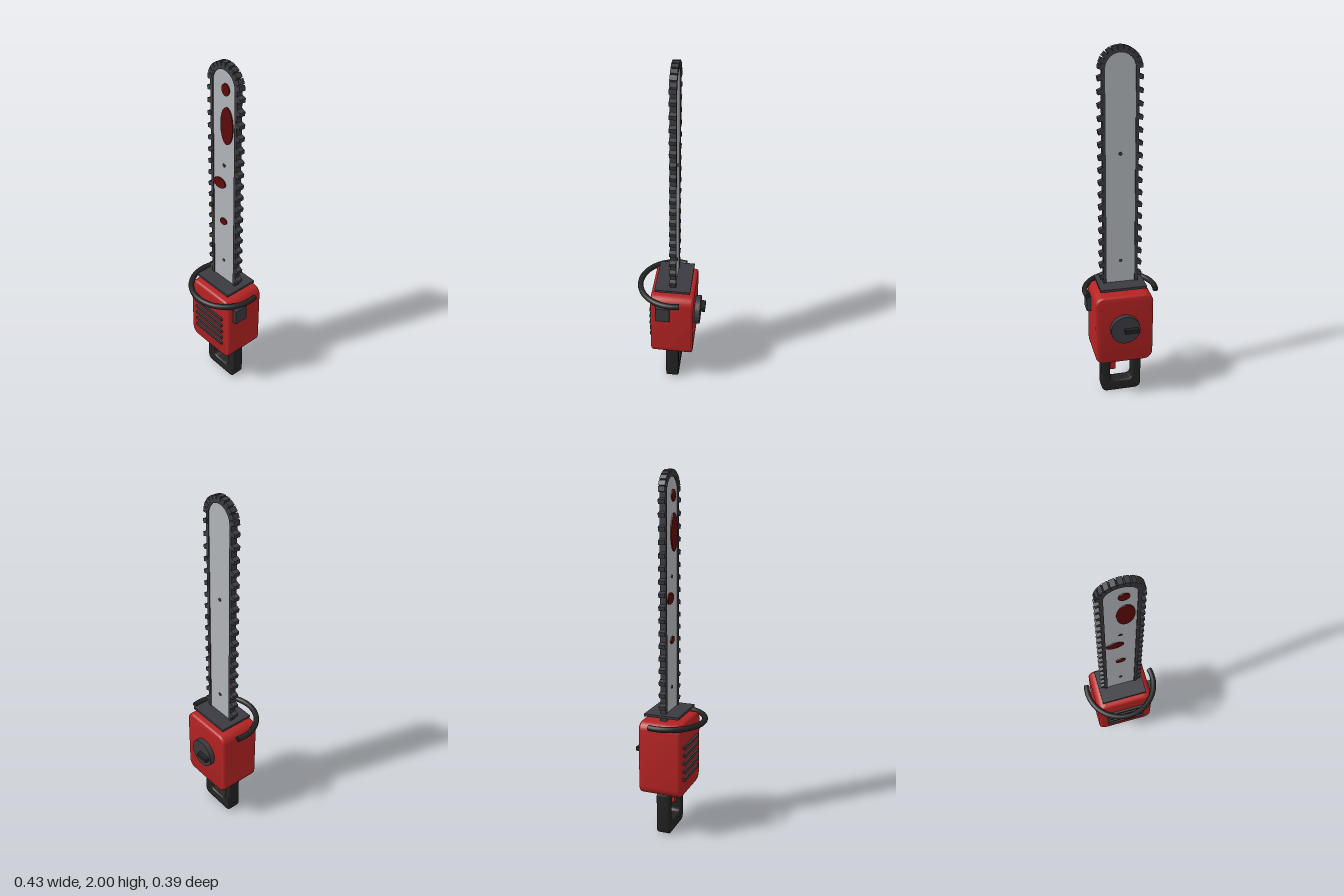
import * as THREE from 'three';
import { toCreasedNormals } from 'three/addons/utils/BufferGeometryUtils.js';

const mat = (name, color) => {
  const m = new THREE.MeshStandardMaterial({ color });
  m.name = name;
  return m;
};

// Rounded rectangle, as a shape or a hole
function roundRect(path, x0, y0, x1, y1, r) {
  path.moveTo(x0 + r, y0);
  path.lineTo(x1 - r, y0);
  path.absarc(x1 - r, y0 + r, r, -Math.PI / 2, 0);
  path.lineTo(x1, y1 - r);
  path.absarc(x1 - r, y1 - r, r, 0, Math.PI / 2);
  path.lineTo(x0 + r, y1);
  path.absarc(x0 + r, y1 - r, r, Math.PI / 2, Math.PI);
  path.lineTo(x0, y0 + r);
  path.absarc(x0 + r, y0 + r, r, Math.PI, Math.PI * 1.5);
  return path;
}

// Extrusion from z0 to z1 with the bevel kept inside that depth
function extrude(shape, z0, z1, bevel = 0) {
  const g = new THREE.ExtrudeGeometry(shape, {
    depth: z1 - z0 - 2 * bevel, curveSegments: 12,
    bevelEnabled: bevel > 0, bevelThickness: bevel, bevelSize: bevel,
    bevelOffset: -bevel, bevelSegments: 4,
  });
  g.translate(0, 0, z0 + bevel);
  return toCreasedNormals(g, 0.6);
}

export function createModel() {
  const root = new THREE.Group();
  root.name = 'chainsaw';
  const red = mat('red housing', 0xb22222);
  const black = mat('black rubber', 0x222222);
  const grey = mat('dark grey', 0x3a3a40);
  const silver = mat('bar steel', 0xb0b4b8);
  const stain = mat('dark red stain', 0x5c0a0a);

  const add = (name, geo, material, x = 0, y = 0, z = 0, parent = root) => {
    const m = new THREE.Mesh(geo, material);
    m.name = name;
    m.position.set(x, y, z);
    parent.add(m);
    return m;
  };
  const box = (w, h, d) => new THREE.BoxGeometry(w, h, d);

  // Engine housing
  add('housing', extrude(roundRect(new THREE.Shape(), -0.165, 0.25, 0.165, 0.67, 0.05), -0.142, 0.102, 0.015), red);
  for (const y of [0.352, 0.398, 0.444, 0.49, 0.536]) {
    add('vent', box(0.228, 0.016, 0.02), grey, 0, y, 0.104);
  }
  add('sideCap', box(0.035, 0.092, 0.08), grey, 0.172, 0.577, 0.029);

  // Pull starter on the back
  add('starterDisc', new THREE.CylinderGeometry(0.083, 0.083, 0.04, 32).rotateX(Math.PI / 2), grey, 0, 0.475, -0.152);
  add('starterGrip', box(0.077, 0.022, 0.03), black, -0.031, 0.475, -0.183);

  // Rear grip and trigger
  const grip = roundRect(new THREE.Shape(), -0.117, 0, 0.117, 0.26, 0.035);
  grip.holes.push(roundRect(new THREE.Path(), -0.065, 0.066, 0.065, 0.21, 0.025));
  add('rearGrip', extrude(grip, -0.056, 0.019, 0.008), black);
  add('trigger', box(0.03, 0.075, 0.03), red, 0.046, 0.172, -0.018);

  // Wrap-around front handle
  const over = 0.23;
  const hoop = new THREE.TorusGeometry(0.198, 0.016, 14, 48, Math.PI + 2 * over)
    .rotateZ(-over).rotateX(Math.PI / 2);
  add('frontHandle', hoop, black, 0, 0.658, -0.021);
  for (const s of [1, -1]) {
    const cap = add('handleEnd', new THREE.CircleGeometry(0.016, 14), black,
      s * 0.198 * Math.cos(over), 0.658, -0.021 - 0.198 * Math.sin(over));
    cap.rotation.y = Math.PI + s * over;
  }

  // Guard plate
  add('guardPlate', box(0.26, 0.014, 0.2), grey, 0, 0.704, -0.02);

  // Guide bar and chain share one centre plane
  const blade = new THREE.Group();
  blade.name = 'blade';
  blade.position.z = -0.02;
  root.add(blade);
  const cy = 1.885;
  const bottom = 0.62;
  const bar = new THREE.Shape();
  bar.moveTo(-0.085, bottom);
  bar.lineTo(0.085, bottom);
  bar.lineTo(0.085, cy);
  bar.absarc(0, cy, 0.085, 0, Math.PI);
  add('guideBar', extrude(bar, -0.012, 0.012), silver, 0, 0, 0, blade);

  const band = new THREE.Shape();
  band.moveTo(0.079, bottom);
  band.lineTo(0.096, bottom);
  band.lineTo(0.096, cy);
  band.absarc(0, cy, 0.096, 0, Math.PI);
  band.lineTo(-0.096, bottom);
  band.lineTo(-0.079, bottom);
  band.lineTo(-0.079, cy);
  band.absarc(0, cy, 0.079, Math.PI, 0, true);
  add('chainBand', extrude(band, -0.017, 0.017), grey, 0, 0, 0, blade);

  // Cutting teeth: swept down both sides, then fanned around the tip
  const tooth = new THREE.Shape();
  tooth.moveTo(-0.006, -0.012);
  tooth.lineTo(0.019, -0.018);
  tooth.lineTo(0.023, 0.004);
  tooth.lineTo(-0.006, 0.016);
  const toothGeo = extrude(tooth, -0.018, 0.018);
  for (let i = 0; i < 17; i++) {
    const y = 0.755 + i * 0.0682;
    add('toothLeft', toothGeo, grey, 0.096, y, 0, blade);
    add('toothRight', toothGeo, grey, -0.096, y, 0, blade).rotation.y = Math.PI;
  }
  const tipTooth = box(0.026, 0.026, 0.036);
  const count = 11;
  for (let i = 0; i < count; i++) {
    const a = Math.PI * (i + 0.5) / count;
    add('tipTooth', tipTooth, grey, 0.102 * Math.cos(a), cy + 0.102 * Math.sin(a), 0, blade).rotation.z = a;
  }

  // Rivets through the bar
  const rivet = new THREE.CylinderGeometry(0.01, 0.01, 0.03, 12).rotateX(Math.PI / 2);
  for (const y of [0.84, 1.45]) add('rivet', rivet, grey, 0, y, 0, blade);

  // Stains on the front of the bar: x, y, radii, tilt
  const disc = new THREE.CylinderGeometry(1, 1, 0.006, 28).rotateX(Math.PI / 2);
  const stains = [
    [0.015, 1.868, 0.027, 0.031, 0],
    [0.024, 1.68, 0.045, 0.1, 0],
    [-0.03, 1.336, 0.046, 0.031, 0.1],
    [0, 1.106, 0.027, 0.02, 0.3],
  ];
  for (const [x, y, rx, ry, tilt] of stains) {
    const m = add('stain', disc, stain, x, y, 0.016, blade);
    m.scale.set(rx, ry, 1);
    m.rotation.z = tilt;
  }
  return root;
}
